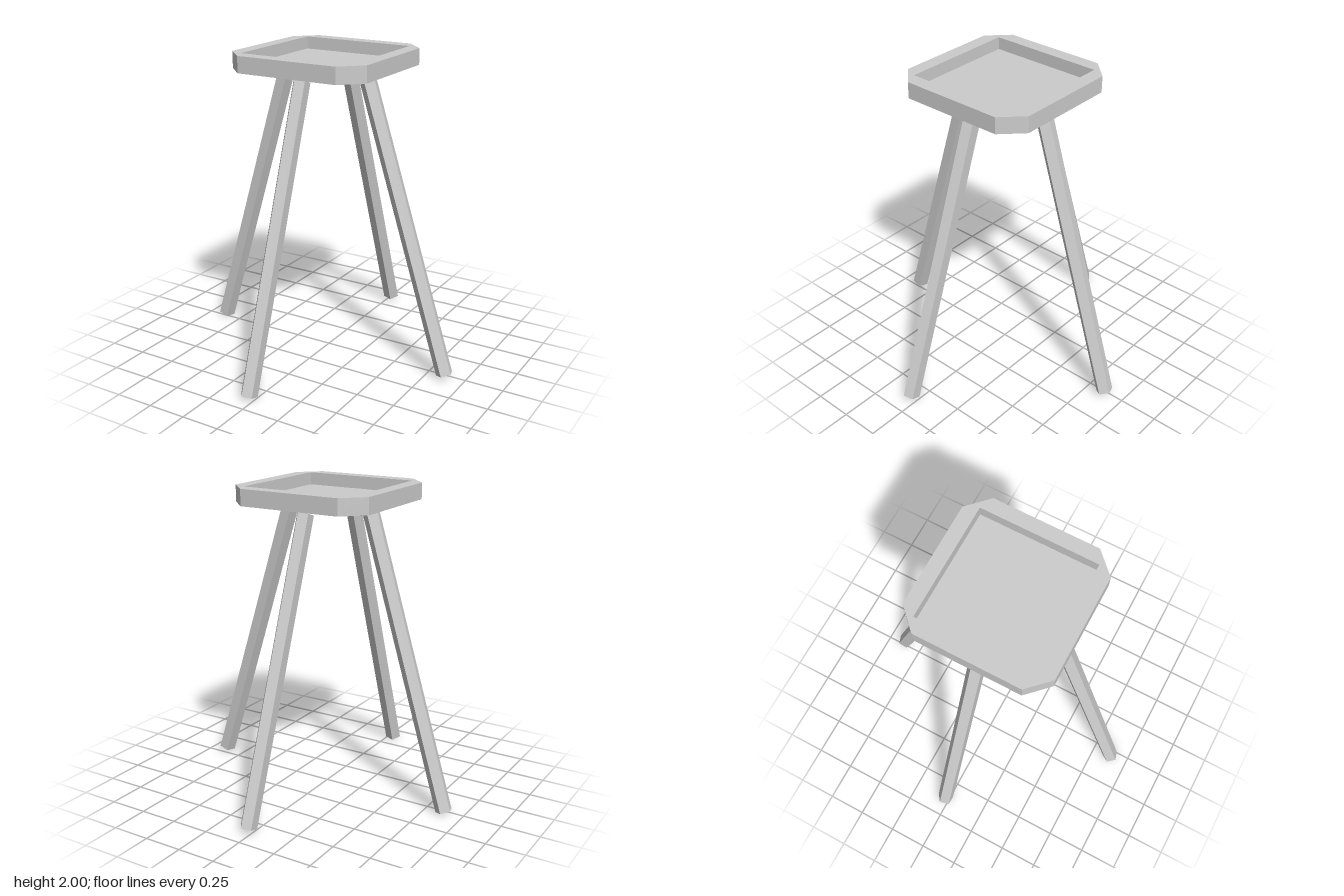
import * as THREE from 'three';

const material = new THREE.MeshStandardMaterial({ color: 0xcccccc, flatShading: true });

// Square ring of eight points with its corners cut off (cut 0 gives a plain square)
function ring(half, cut, y) {
  const points = [];
  for (let k = 0; k < 4; k++) {
    const a = k * Math.PI / 2, s = Math.sin(a), c = Math.cos(a);
    for (const t of [cut - half, half - cut]) {
      points.push(new THREE.Vector3(s * half + c * t, y, c * half - s * t));
    }
  }
  return points;
}

// Skin a stack of rings and close both ends
function loft(rings) {
  const positions = [];
  const triangle = (a, b, c) => {
    if (new THREE.Triangle(a, b, c).getArea() < 1e-8) return;
    for (const p of [a, b, c]) positions.push(p.x, p.y, p.z);
  };
  for (let r = 0; r < rings.length - 1; r++) {
    const low = rings[r], high = rings[r + 1];
    for (let i = 0; i < 8; i++) {
      const j = (i + 1) % 8;
      triangle(low[i], low[j], high[j]);
      triangle(low[i], high[j], high[i]);
    }
  }
  const first = rings[0], last = rings[rings.length - 1];
  for (let i = 1; i < 7; i++) {
    triangle(first[0], first[i + 1], first[i]);
    triangle(last[0], last[i], last[i + 1]);
  }
  const geometry = new THREE.BufferGeometry();
  geometry.setAttribute('position', new THREE.Float32BufferAttribute(positions, 3));
  geometry.computeVertexNormals();
  return geometry;
}

// Five-sided leg from foot to top, with one long edge facing the given side
function makeLeg(name, foot, top, side) {
  const a = new THREE.Vector3(...foot), b = new THREE.Vector3(...top);
  const yAxis = b.clone().sub(a), length = yAxis.length();
  yAxis.normalize();
  const xAxis = new THREE.Vector3().crossVectors(yAxis, new THREE.Vector3(...side)).normalize();
  const zAxis = new THREE.Vector3().crossVectors(xAxis, yAxis);
  const leg = new THREE.Mesh(new THREE.CylinderGeometry(0.055, 0.055, length, 5), material);
  leg.quaternion.setFromRotationMatrix(new THREE.Matrix4().makeBasis(xAxis, yAxis, zAxis));
  leg.position.copy(a).add(b).multiplyScalar(0.5);
  leg.name = name;
  return leg;
}

export function createModel() {
  const model = new THREE.Group();
  model.name = 'stool';

  // Seat: bevelled underside, cut corners, raised rim and sunken floor
  const seat = new THREE.Mesh(loft([
    ring(0.337, 0, 1.878),
    ring(0.467, 0.13, 1.896),
    ring(0.467, 0.13, 2),
    ring(0.377, 0, 2),
    ring(0.377, 0, 1.92),
  ]), material);
  seat.position.set(-0.01, 0, 0.01);
  seat.name = 'seat';
  model.add(seat);

  // Four splayed legs, each swung slightly sideways
  model.add(
    makeLeg('frontLeg', [-0.043, 0.0155, 0.877], [-0.01, 1.855, 0.302], [-1, 0, 0]),
    makeLeg('backLeg', [0.023, 0.031, -0.876], [-0.014, 1.855, -0.278], [1, 0, 0]),
    makeLeg('rightLeg', [-0.877, 0.0155, -0.027], [-0.305, 1.855, 0.01], [0, 0, -1]),
    makeLeg('leftLeg', [0.874, 0.031, 0.042], [0.276, 1.855, 0.006], [0, 0, 1]),
  );
  return model;
}
